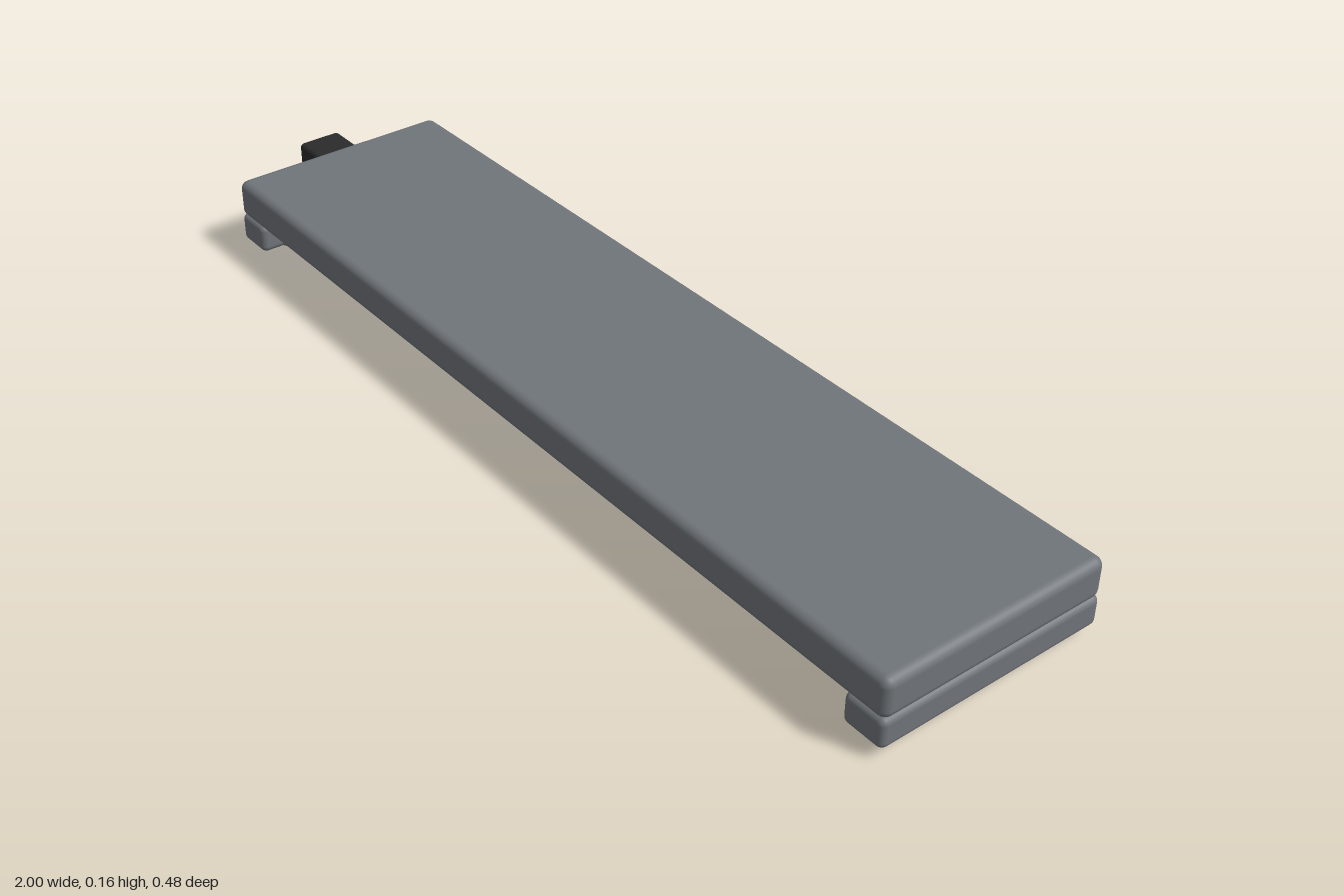
import * as THREE from 'three';
import { RoundedBoxGeometry } from 'three/addons/geometries/RoundedBoxGeometry.js';

const paint = (name, color) => {
  const m = new THREE.MeshStandardMaterial({ color });
  m.name = name;
  return m;
};

export function createModel() {
  const group = new THREE.Group();
  const grey = paint('slate grey', 0x70757a);
  const black = paint('black', 0x2b2b2b);
  const white = paint('diffuser white', 0xe2e2de);

  // Rounded box given by its limits on each axis
  const box = (name, mat, [x0, x1], [y0, y1], [z0, z1], r) => {
    const geo = new RoundedBoxGeometry(x1 - x0, y1 - y0, z1 - z0, 3, r);
    const mesh = new THREE.Mesh(geo, mat);
    mesh.name = name;
    mesh.position.set((x0 + x1) / 2, (y0 + y1) / 2, (z0 + z1) / 2);
    group.add(mesh);
  };

  // Main slab
  box('housing', grey, [-0.92, 1], [0.077, 0.158], [-0.24, 0.24], 0.018);

  // End caps under the slab
  box('rightEndCap', grey, [-0.92, -0.835], [0.02, 0.081], [-0.24, 0.24], 0.013);
  box('leftEndCap', grey, [0.912, 1], [0.02, 0.081], [-0.24, 0.24], 0.013);

  // Dark tray and the light panel set into it
  box('tray', black, [-0.86, 0.94], [0.043, 0.085], [-0.19, 0.19], 0.004);
  box('lightPanel', white, [-0.85, 0.93], [0.012, 0.05], [-0.178, 0.178], 0.006);

  // Plug on the right end
  box('plug', black, [-1, -0.91], [0.083, 0.15], [-0.048, 0.048], 0.01);

  // Small discs below the end caps
  const disc = new THREE.CylinderGeometry(0.014, 0.014, 0.008, 20);
  for (const x of [-0.877, 0.951]) {
    for (const z of [-0.16, 0.16]) {
      const screw = new THREE.Mesh(disc, grey);
      screw.name = 'screw';
      screw.position.set(x, 0.004, z);
      group.add(screw);
    }
  }
  return group;
}
